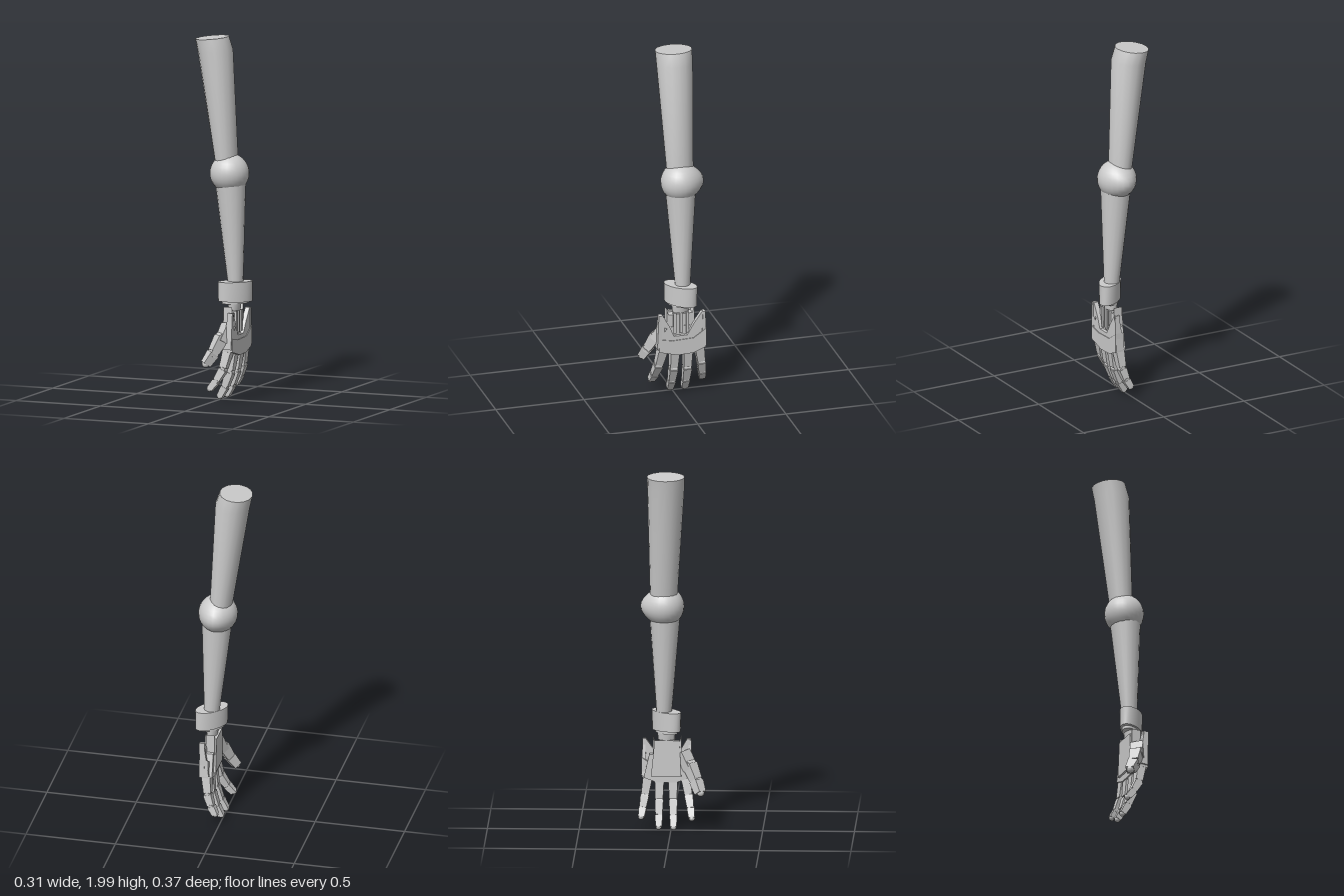
import * as THREE from 'three';
import { toCreasedNormals } from 'three/addons/utils/BufferGeometryUtils.js';

const V = (p) => new THREE.Vector3(...p);
const grey = new THREE.MeshStandardMaterial({ color: 0xcccccc });

function add(parent, name, geometry, crease = 0.7) {
  const mesh = new THREE.Mesh(toCreasedNormals(geometry, crease), grey);
  mesh.name = name;
  parent.add(mesh);
  return mesh;
}

// Capped tube through elliptical rings, top to bottom: [x, y, z, rx, rz, tilt, turn]
function loft(rings, sides = 16) {
  const geo = new THREE.CylinderGeometry(1, 1, 1, sides, rings.length - 1);
  const pos = geo.attributes.position;
  for (let i = 0; i < pos.count; i++) {
    const row = Math.round((0.5 - pos.getY(i)) * (rings.length - 1));
    const [x, y, z, rx, rz, tilt = 0, turn = 0] = rings[row];
    const a = pos.getX(i) * rx, b = pos.getZ(i) * rz;
    const dx = a * Math.cos(turn) + b * Math.sin(turn);
    const dz = b * Math.cos(turn) - a * Math.sin(turn);
    pos.setXYZ(i, x + dx, y + dx * tilt, z + dz);
  }
  return geo;
}

// Tapered block from a to b; width runs sideways (near side), depth runs front to back of the finger
function block(a, b, width, depth, taper, side = [0, 0, 1]) {
  const geo = new THREE.BoxGeometry(depth, 1, width);
  const pos = geo.attributes.position;
  for (let i = 0; i < pos.count; i++) {
    if (pos.getY(i) < 0) {
      pos.setX(i, pos.getX(i) * taper);
      pos.setZ(i, pos.getZ(i) * taper);
    }
  }
  const A = V(a), B = V(b);
  const y = A.clone().sub(B), len = y.length();
  y.normalize();
  const x = y.clone().cross(V(side)).normalize();
  const z = x.clone().cross(y);
  geo.scale(1, len, 1);
  geo.applyMatrix4(new THREE.Matrix4().makeBasis(x, y, z).setPosition(A.add(B).multiplyScalar(0.5)));
  return geo;
}

// Short hinge pin lying along the given side direction
function pin(at, radius, length, side = [0, 0, 1]) {
  const geo = new THREE.CylinderGeometry(radius, radius, length, 10);
  const q = new THREE.Quaternion().setFromUnitVectors(new THREE.Vector3(0, 1, 0), V(side).normalize());
  return geo.applyQuaternion(q).translate(...at);
}

// Flat outline drawn as seen from +x (across = -z), thickened from x0 to x1
function plate(points, x0, x1) {
  const shape = new THREE.Shape(points.map(([u, y]) => new THREE.Vector2(u, y)));
  return new THREE.ExtrudeGeometry(shape, { depth: x1 - x0, bevelEnabled: false })
    .rotateY(Math.PI / 2).translate(x0, 0, 0);
}

// Chain of jointed blocks with a rounded tip
function digit(parent, name, joints, width, side) {
  const group = new THREE.Group();
  group.name = name;
  for (let i = 0; i < joints.length - 1; i++) {
    const w = width * (1 - 0.1 * i), a = V(joints[i]), b = V(joints[i + 1]);
    const end = a.clone().lerp(b, 0.9).toArray();
    add(group, 'segment', block(joints[i], end, w, w * 0.95, 0.82, side), 0.4);
    add(group, 'hinge', pin(joints[i], w * 0.4, w * 0.9, side));
  }
  const r = width * 0.33;
  const tip = add(group, 'fingertip', new THREE.SphereGeometry(r, 10, 8));
  tip.position.copy(V(joints.at(-1))).add(new THREE.Vector3(0.004, 0.008, 0));
  parent.add(group);
}

export function createModel() {
  const model = new THREE.Group();
  model.name = 'arm';

  // Arm
  add(model, 'upperArm', loft([
    [-0.065, 1.992, -0.026, 0.09, 0.103, 0.085],
    [-0.045, 1.92, -0.026, 0.095, 0.101, 0.085],
    [0.018, 1.29, -0.04, 0.06, 0.074, 0.1],
  ]));
  const elbow = new THREE.SphereGeometry(0.108, 24, 16);
  const ep = elbow.attributes.position;
  for (let i = 0; i < ep.count; i++) { // drawn out to a point at the back
    const z = ep.getZ(i);
    if (z < 0) ep.setZ(i, z * (1 + 0.22 * Math.pow(-z / 0.108, 3)));
  }
  add(model, 'elbow', elbow).position.set(0.034, 1.25, -0.036);
  add(model, 'forearm', loft([
    [0.039, 1.215, -0.035, 0.085, 0.085],
    [0.068, 0.64, -0.04, 0.042, 0.041],
  ]));

  // Wrist: flattened cuff turned halfway between front and side
  const turn = Math.PI / 4, cx = 0.072, cz = -0.027;
  add(model, 'wristCuff', loft([
    [cx, 0.658, cz, 0.1, 0.056, 0, turn],
    [cx, 0.55, cz, 0.098, 0.054, -0.05, turn],
  ], 24));
  add(model, 'wristRing', loft([
    [0.07, 0.56, cz, 0.075, 0.045, 0, turn],
    [0.07, 0.537, cz, 0.075, 0.045, 0, turn],
  ]));
  add(model, 'wristStem', loft([
    [0.068, 0.54, cz, 0.035, 0.05],
    [0.068, 0.5, cz, 0.03, 0.045],
  ]));

  // Hand
  const hand = new THREE.Group();
  hand.name = 'hand';
  model.add(hand);
  add(hand, 'wristBlock', plate([
    [-0.055, 0.525], [-0.045, 0.49], [0.09, 0.49], [0.1, 0.525], [0.1, 0.4], [0.07, 0.34], [-0.03, 0.34], [-0.055, 0.4],
  ], 0.038, 0.088), 0.3);
  for (const z of [0.012, -0.024, -0.06]) {
    add(hand, 'tendonRod', block([0.09, 0.5, z], [0.09, 0.38, z], 0.016, 0.018, 0.9), 0.3);
  }
  add(hand, 'palm', plate([
    [-0.08, 0.42], [0.12, 0.42], [0.15, 0.29], [0.08, 0.265], [-0.03, 0.265], [-0.095, 0.29],
  ], 0.042, 0.09), 0.3);
  add(hand, 'palmPad', plate([
    [-0.045, 0.5], [0.09, 0.5], [0.11, 0.3], [-0.055, 0.3],
  ], 0.03, 0.045), 0.3);

  // Winged guard on the back of the hand, swelling toward its lower band
  add(hand, 'backGuard', plate([
    [-0.102, 0.5], [-0.085, 0.5], [-0.045, 0.43], [-0.02, 0.37], [0.055, 0.37],
    [0.09, 0.43], [0.14, 0.5], [0.157, 0.5], [0.16, 0.37], [-0.102, 0.37],
  ].slice(0, 8).concat([[0.163, 0.345], [0.03, 0.33], [-0.104, 0.345]]), 0.082, 0.108), 0.3);
  add(hand, 'knuckleBand', plate([
    [-0.104, 0.36], [-0.03, 0.345], [0.09, 0.35], [0.163, 0.4],
    [0.16, 0.29], [0.09, 0.262], [0.0, 0.258], [-0.104, 0.285],
  ], 0.06, 0.112), 0.3);
  for (const z of [0.1, -0.15]) {
    add(hand, 'sideWing', block([0.1, 0.5, z], [0.082, 0.3, z], 0.014, 0.025, 2), 0.3);
  }

  // Fingers: [name, base z, tip z, tip x, tip y]
  const fingers = [
    ['indexFinger', 0.077, 0.115, -0.022, 0.072],
    ['middleFinger', 0.008, 0.014, -0.004, 0.018],
    ['ringFinger', -0.065, -0.067, 0.004, 0.018],
    ['littleFinger', -0.128, -0.163, 0.016, 0.07],
  ];
  for (const [name, z0, z1, x, y] of fingers) {
    const at = (t, px) => [px, 0.29 + (y - 0.29) * t, z0 + (z1 - z0) * t];
    digit(hand, name, [at(0, 0.076), at(0.48, x * 0.3 + 0.06), at(0.78, x * 0.7 + 0.032), at(1, x)], 0.052);
  }

  // Thumb, angled forward and inward
  const across = [0.75, 0, 0.66];
  add(hand, 'thumbBase', block([0.07, 0.43, 0.06], [0.045, 0.34, 0.105], 0.075, 0.055, 0.9, across), 0.3);
  digit(hand, 'thumb', [[0.045, 0.365, 0.1], [0.012, 0.28, 0.138], [-0.026, 0.215, 0.163]], 0.064, across);

  return model;
}
